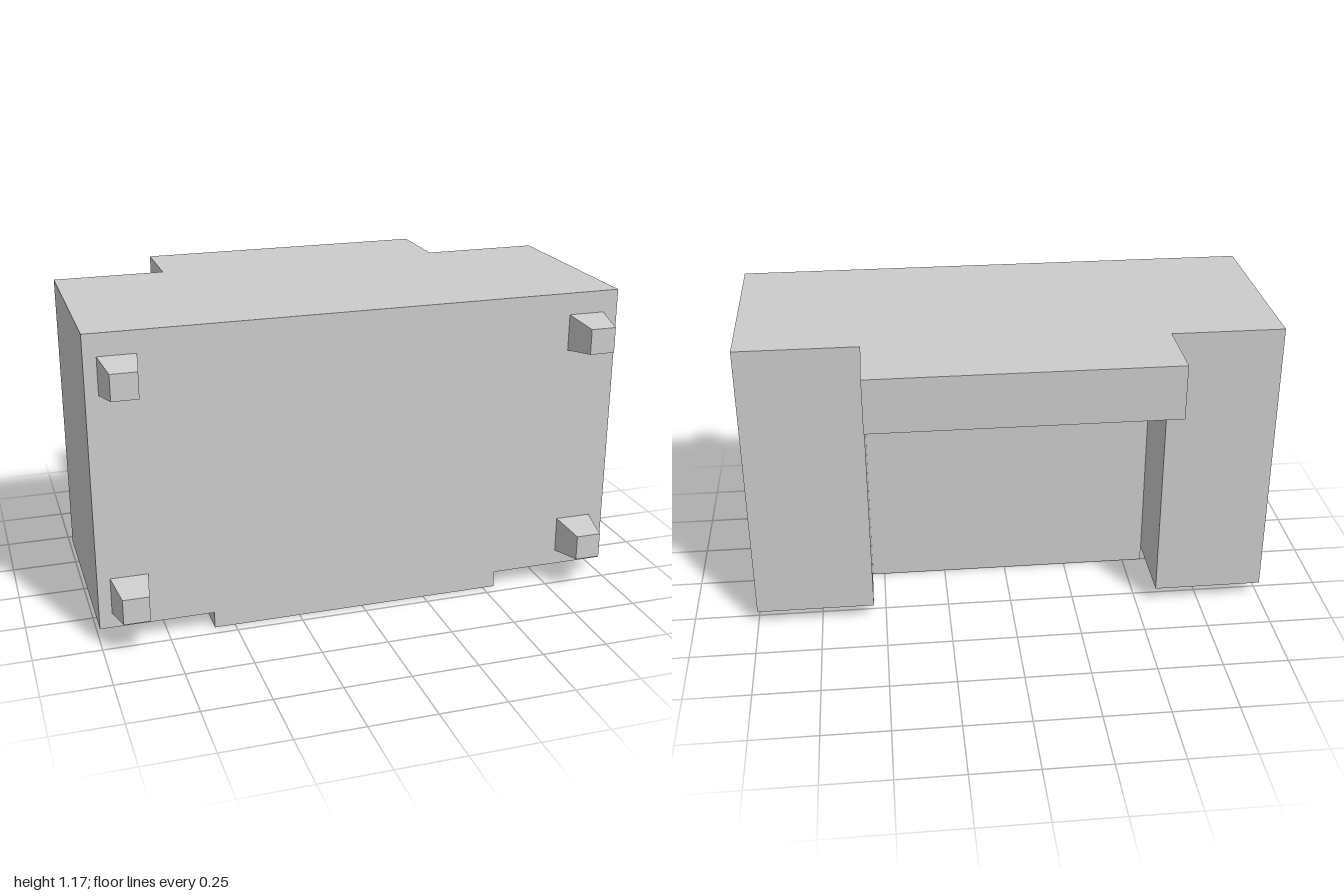
import * as THREE from 'three';

export function createModel() {
  const model = new THREE.Group();
  const material = new THREE.MeshStandardMaterial({ color: 0xcccccc, flatShading: true });
  const add = (name, geometry) => {
    const mesh = new THREE.Mesh(geometry, material);
    mesh.name = name;
    model.add(mesh);
    return mesh;
  };

  const top = 1.17, armBottom = 0.062, front = 0.457, back = -0.317;
  const innerRight = -0.577, innerLeft = 0.547;

  // Arms: plain blocks at both ends
  const arm = (name, x0, x1) => add(name, new THREE.BoxGeometry(x1 - x0, top - armBottom, front - back))
    .position.set((x0 + x1) / 2, (top + armBottom) / 2, (front + back) / 2);
  arm('rightArm', -1, innerRight);
  arm('leftArm', innerLeft, 1);

  // Seat and backrest: one side profile (z, y) extruded between the arms
  const profile = new THREE.Shape([
    [front, 0], [front, top], [-0.595, top], [-0.595, 0.964],
    [back, 0.85], [-0.003, 0.85], [-0.003, 0],
  ].map(([z, y]) => new THREE.Vector2(z, y)));
  const seat = new THREE.ExtrudeGeometry(profile, { depth: innerLeft - innerRight, bevelEnabled: false });
  seat.rotateY(-Math.PI / 2).translate(innerLeft, 0, 0);
  add('seatAndBackrest', seat);

  // Feet: tapered square pegs pointing forward
  const footLength = 0.595 - front;
  const foot = new THREE.CylinderGeometry(0.048 * Math.SQRT2, 0.069 * Math.SQRT2, footLength, 4)
    .rotateY(Math.PI / 4).rotateX(Math.PI / 2);
  for (const x of [-0.884, 0.875])
    for (const y of [0.188, 1.018])
      add('foot', foot).position.set(x, y, front + footLength / 2);

  return model;
}
